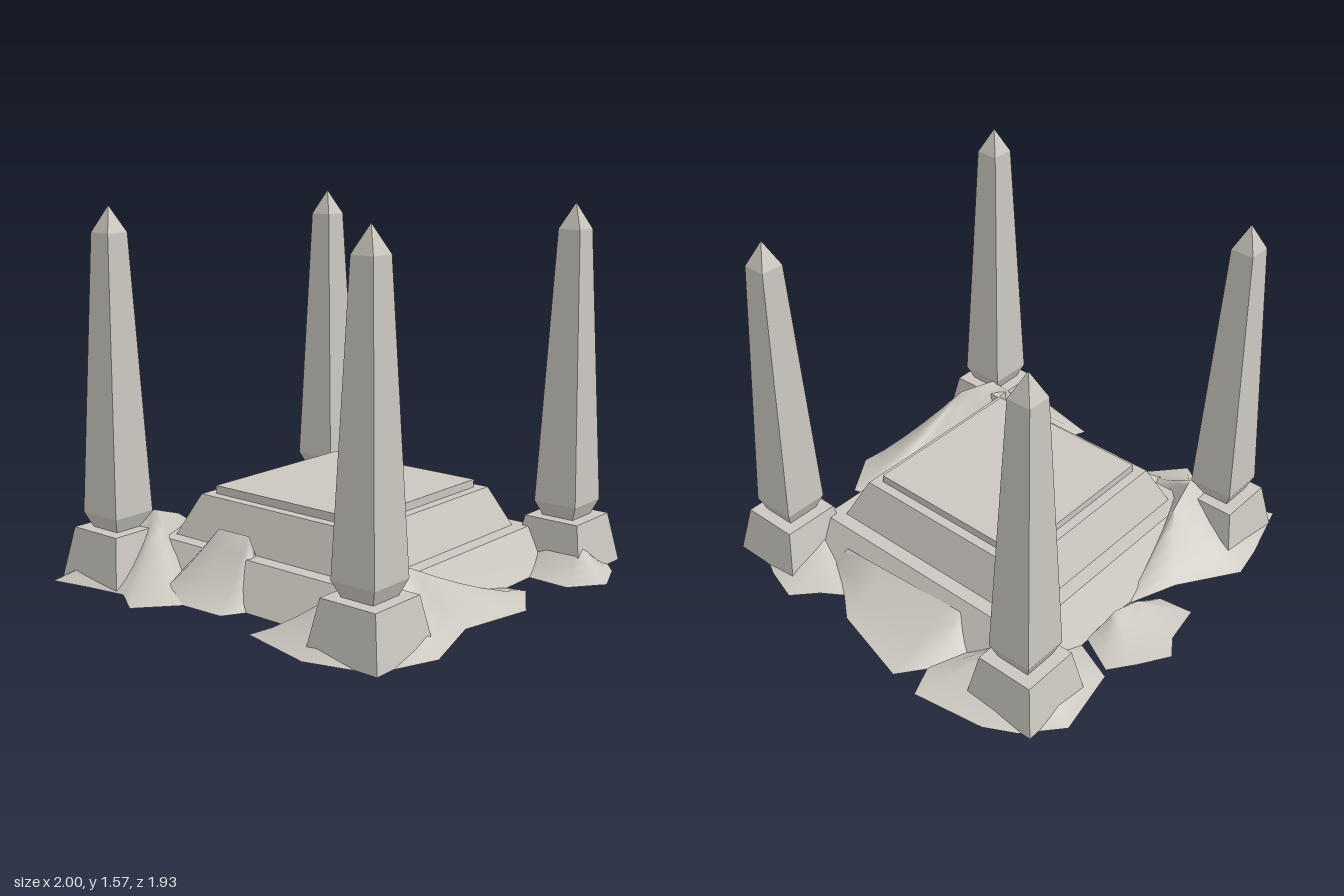
import * as THREE from 'three';
import { mergeVertices } from 'three/addons/utils/BufferGeometryUtils.js';

const stone = new THREE.MeshStandardMaterial({ color: 0xcbc7bf, side: THREE.DoubleSide });
stone.name = 'pale stone';

// Square, open-bottomed solid from [halfWidth, y] steps
function squareTower(name, steps) {
  const profile = steps.map(([h, y]) => new THREE.Vector2(h * Math.SQRT2, y));
  const geo = new THREE.LatheGeometry(profile, 4).rotateY(Math.PI / 4).toNonIndexed();
  geo.computeVertexNormals();
  const mesh = new THREE.Mesh(geo, stone);
  mesh.name = name;
  return mesh;
}

// Drift of sand: a ground outline [x, z] swept up in rings to a straight crest [x, y, z]
function drift(name, crestA, crestB, outline) {
  const a = new THREE.Vector3(...crestA), b = new THREE.Vector3(...crestB);
  const flat = new THREE.Line3(a.clone().setY(0), b.clone().setY(0));
  const rings = 5, n = outline.length, pos = [], index = [];
  for (let r = 0; r <= rings; r++) {
    const t = r / rings;
    for (const [x, z] of outline) {
      const p = new THREE.Vector3(x, 0, z);
      const top = a.clone().lerp(b, flat.closestPointToPointParameter(p, true));
      pos.push(x + (top.x - x) * t, top.y * Math.pow(t, 1.3), z + (top.z - z) * t);
    }
  }
  for (let r = 0; r < rings; r++) {
    for (let i = 0; i < n; i++) {
      const j = (i + 1) % n, p = r * n, q = p + n;
      index.push(p + i, p + j, q + j, p + i, q + j, q + i);
    }
  }
  let geo = new THREE.BufferGeometry();
  geo.setAttribute('position', new THREE.Float32BufferAttribute(pos, 3));
  geo.setIndex(index);
  geo = mergeVertices(geo, 1e-4);
  geo.computeVertexNormals();
  const mesh = new THREE.Mesh(geo, stone);
  mesh.name = name;
  return mesh;
}

export function createModel() {
  const model = new THREE.Group();
  model.name = 'obeliskPlatform';

  // Stepped platform with sloping sides and a thin cap
  const platform = squareTower('platform', [
    [0.69, 0], [0.58, 0.17], [0.515, 0.17], [0.437, 0.345], [0.393, 0.345], [0.393, 0.38], [0, 0.38],
  ]);
  platform.position.set(0.012, 0, 0.01);
  model.add(platform);

  // Four obelisks on flared pedestals
  for (const x of [-0.672, 0.7]) {
    for (const z of [-0.672, 0.7]) {
      const obelisk = new THREE.Group();
      obelisk.name = (z > 0 ? 'front' : 'back') + (x > 0 ? 'Left' : 'Right') + 'Obelisk';
      obelisk.add(
        squareTower('pedestal', [[0.17, 0], [0.13, 0.215], [0.075, 0.215]]),
        squareTower('shaft', [[0.075, 0.215], [0.102, 0.28], [0.052, 1.46], [0, 1.57]]),
      );
      obelisk.position.set(x, 0, z);
      model.add(obelisk);
    }
  }

  // Sand drifts banked against the stonework
  model.add(
    drift('backRightDrift', [-0.7, 0.12, -0.6], [-0.53, 0.14, -0.6], [
      [-0.28, -0.83], [-0.34, -0.97], [-0.66, -0.92], [-0.79, -0.85], [-0.92, -0.7],
      [-0.86, -0.39], [-0.67, -0.31], [-0.58, -0.42], [-0.45, -0.52], [-0.33, -0.64],
    ]),
    drift('backDrift', [-0.25, 0.13, -0.6], [0.4, 0.11, -0.62], [
      [0.58, -0.58], [0.46, -0.7], [0.29, -0.76], [0.18, -0.85], [-0.2, -0.95],
      [-0.29, -0.83], [-0.4, -0.65], [-0.3, -0.52], [0.1, -0.5], [0.5, -0.52],
    ]),
    drift('backLeftDrift', [0.66, 0.14, -0.58], [0.83, 0.13, -0.57], [
      [0.89, -0.37], [1, -0.51], [0.93, -0.68], [0.87, -0.75], [0.63, -0.87],
      [0.47, -0.92], [0.38, -0.82], [0.29, -0.76], [0.4, -0.6], [0.56, -0.46], [0.69, -0.38],
    ]),
    drift('rightSideDrift', [-0.7, 0.07, -0.12], [-0.73, 0.06, 0], [
      [-0.66, -0.1], [-0.67, -0.27], [-0.84, -0.36], [-0.92, -0.25],
      [-1, -0.12], [-0.94, -0.03], [-0.91, 0.15], [-0.76, 0.13], [-0.67, 0.02],
    ]),
    drift('frontRightDrift', [-0.57, 0.28, 0.59], [-0.6, 0.22, 0.42], [
      [-0.45, 0.42], [-0.56, 0.25], [-0.67, 0], [-0.76, 0.24], [-0.93, 0.5],
      [-0.9, 0.66], [-0.82, 0.94], [-0.64, 0.9], [-0.46, 0.87], [-0.32, 0.96],
      [-0.18, 0.8], [-0.22, 0.66], [-0.38, 0.53],
    ]),
    drift('frontDrift', [-0.23, 0.25, 0.54], [-0.06, 0.25, 0.54], [
      [0.09, 0.67], [0.05, 0.5], [-0.1, 0.46], [-0.32, 0.48],
      [-0.48, 0.62], [-0.33, 0.85], [-0.18, 0.8], [0.02, 0.79],
    ]),
    drift('frontLeftDrift', [0.63, 0.27, 0.6], [0.7, 0.255, 0.45], [
      [0.94, 0.6], [0.84, 0.29], [0.91, -0.03], [0.78, -0.23], [0.7, -0.21],
      [0.66, 0], [0.6, 0.25], [0.55, 0.45], [0.42, 0.65], [0.28, 0.76],
      [0.24, 0.86], [0.57, 0.93], [0.84, 0.85],
    ]),
  );
  return model;
}
